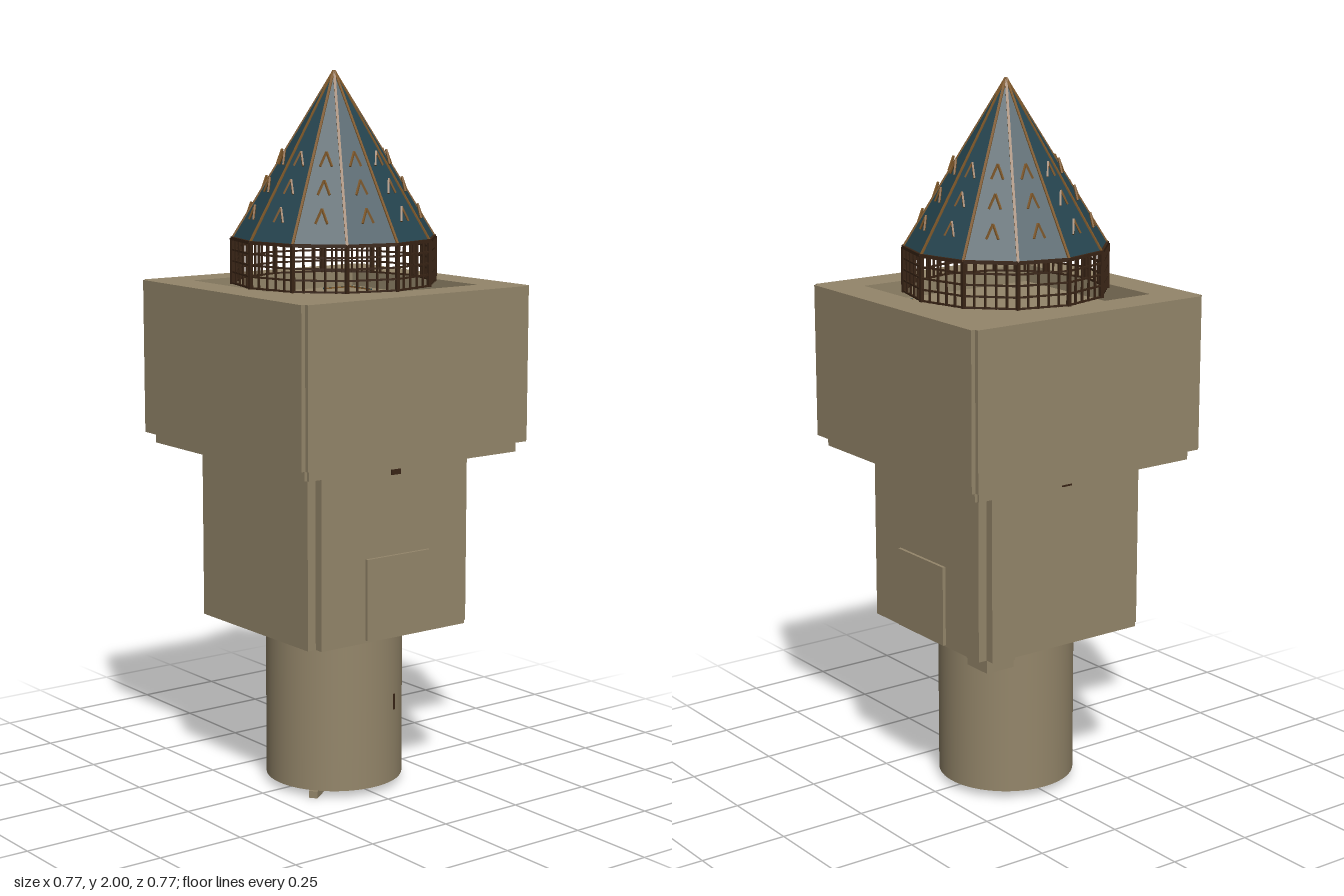
import * as THREE from 'three';

const mat = (name, color, flat = false) => {
  const m = new THREE.MeshStandardMaterial({ color, flatShading: flat });
  m.name = name;
  return m;
};

export function createModel() {
  const model = new THREE.Group();
  model.name = 'tower';
  const stone = mat('stone', 0x94866a);
  const slate = mat('blueSlate', 0x25444f, true);
  const iron = mat('darkIron', 0x3a2516);
  const bronze = mat('bronze', 0x80592a);

  const add = (parent, name, geo, material, x = 0, y = 0, z = 0) => {
    const m = new THREE.Mesh(geo, material);
    m.name = name;
    m.position.set(x, y, z);
    parent.add(m);
    return m;
  };
  const box = (parent, name, material, w, h, d, x, y, z) =>
    add(parent, name, new THREE.BoxGeometry(w, h, d), material, x, y, z);
  const group = (name) => {
    const g = new THREE.Group();
    g.name = name;
    model.add(g);
    return g;
  };
  // Square bar between two points
  const bar = (parent, name, material, a, b, thick) => {
    const m = box(parent, name, material, thick, thick, a.distanceTo(b), 0, 0, 0);
    m.position.copy(a).add(b).multiplyScalar(0.5);
    m.lookAt(b);
    return m;
  };
  // Square block with notched corners and an optional square opening
  const block = (name, half, notch, y0, y1, hole = 0) => {
    const h = half, n = half - notch;
    const s = new THREE.Shape([
      [n, -h], [n, -n], [h, -n], [h, n], [n, n], [n, h],
      [-n, h], [-n, n], [-h, n], [-h, -n], [-n, -n], [-n, -h],
    ].map(([x, y]) => new THREE.Vector2(x, y)));
    if (hole) {
      s.holes.push(new THREE.Path([[-1, -1], [-1, 1], [1, 1], [1, -1]]
        .map(([x, y]) => new THREE.Vector2(x * hole, y * hole))));
    }
    const g = new THREE.ExtrudeGeometry(s, { depth: y1 - y0, bevelEnabled: false });
    g.rotateX(-Math.PI / 2);
    add(model, name, g, stone, 0, y0, 0);
  };

  // Round base with its small foot and narrow slit
  add(model, 'baseColumn', new THREE.CylinderGeometry(0.193, 0.193, 0.45, 64), stone, 0, 0.245, 0);
  box(model, 'foot', stone, 0.025, 0.02, 0.08, 0.095, 0.01, 0.13).rotation.y = 0.63;
  box(model, 'slit', iron, 0.006, 0.045, 0.006, 0.178, 0.25, -0.075).rotation.y = 0.4;

  // Middle storey and stepped corner bracket
  block('middleStorey', 0.275, 0.026, 0.47, 0.96);
  box(model, 'bracketUpper', stone, 0.095, 0.02, 0.095, -0.2, 0.46, -0.2);
  box(model, 'bracketLower', stone, 0.09, 0.02, 0.09, -0.2, 0.44, -0.2);

  // Stand-off panels on the left and back
  box(model, 'leftPanel', stone, 0.009, 0.225, 0.216, 0.289, 0.593, 0);
  box(model, 'backPanel', stone, 0.216, 0.225, 0.009, 0, 0.593, -0.289);
  for (const s of [-1, 1]) box(model, 'sideStud', iron, 0.02, 0.025, 0.03, s * 0.27, 0.937, 0);

  // Overhanging upper storey with a sunken roof floor
  block('overhangSlab', 0.362, 0.008, 0.96, 0.99);
  block('upperStorey', 0.385, 0.012, 0.99, 1.37);
  block('parapet', 0.385, 0.012, 1.37, 1.42, 0.28);

  // Thin inlaid strips at the corners of the roof floor
  const inlay = group('floorInlay');
  for (const [sx, sz] of [[-1, -1], [1, -1], [-1, 1]]) {
    box(inlay, 'slateStrip', slate, 0.1, 0.006, 0.004, sx * 0.195, 1.371, sz * 0.244);
    box(inlay, 'bronzeStrip', bronze, 0.1, 0.006, 0.003, sx * 0.195, 1.371, sz * 0.24);
    box(inlay, 'slateStrip', slate, 0.004, 0.006, 0.1, sx * 0.243, 1.371, sz * 0.195);
    box(inlay, 'bronzeStrip', bronze, 0.003, 0.006, 0.1, sx * 0.239, 1.371, sz * 0.195);
  }

  // Twelve-sided lantern grille and spire
  const N = 12, R = 0.28, Y0 = 1.42, Y1 = 1.545, TOP = 2;
  const corner = (i, y, r = R) => {
    const a = (i / N) * Math.PI * 2;
    return new THREE.Vector3(Math.sin(a) * r, y, Math.cos(a) * r);
  };
  const grille = group('lanternGrille');
  const spire = group('spire');
  add(spire, 'spireRoof', new THREE.ConeGeometry(R, TOP - Y1, N), slate, 0, (TOP + Y1) / 2, 0);
  const apex = new THREE.Vector3(0, TOP - 0.003, 0);
  const CELLS = 5, ROWS = 4;

  for (let i = 0; i < N; i++) {
    bar(grille, 'post', iron, corner(i, Y0), corner(i, Y1), 0.01);
    for (let r = 0; r <= ROWS; r++) {
      const y = Y0 + 0.003 + ((Y1 - Y0 - 0.003) * r) / ROWS;
      bar(grille, 'rail', iron, corner(i, y), corner(i + 1, y), r === ROWS ? 0.009 : 0.005);
    }
    for (let c = 1; c < CELLS; c++) {
      const lo = corner(i, Y0).lerp(corner(i + 1, Y0), c / CELLS);
      bar(grille, 'upright', iron, lo, lo.clone().setY(Y1), 0.005);
    }
    bar(spire, 'rib', bronze, corner(i, Y1), apex, 0.007);

    // Raised chevrons up the middle of each roof face
    const a = ((i + 0.5) / N) * Math.PI * 2;
    const ap = R * Math.cos(Math.PI / N);
    const point = (u, side, lift) => new THREE.Vector3(
      Math.sin(a) * (ap * (1 - u) + lift) + Math.cos(a) * side,
      Y1 + (TOP - Y1) * u + lift * 0.5,
      Math.cos(a) * (ap * (1 - u) + lift) - Math.sin(a) * side);
    for (const u of [0.12, 0.28, 0.44]) {
      for (const s of [-1, 1]) {
        bar(spire, 'chevron', bronze, point(u, s * 0.016, 0.003), point(u + 0.075, 0, 0.012), 0.005);
      }
    }
  }
  return model;
}
